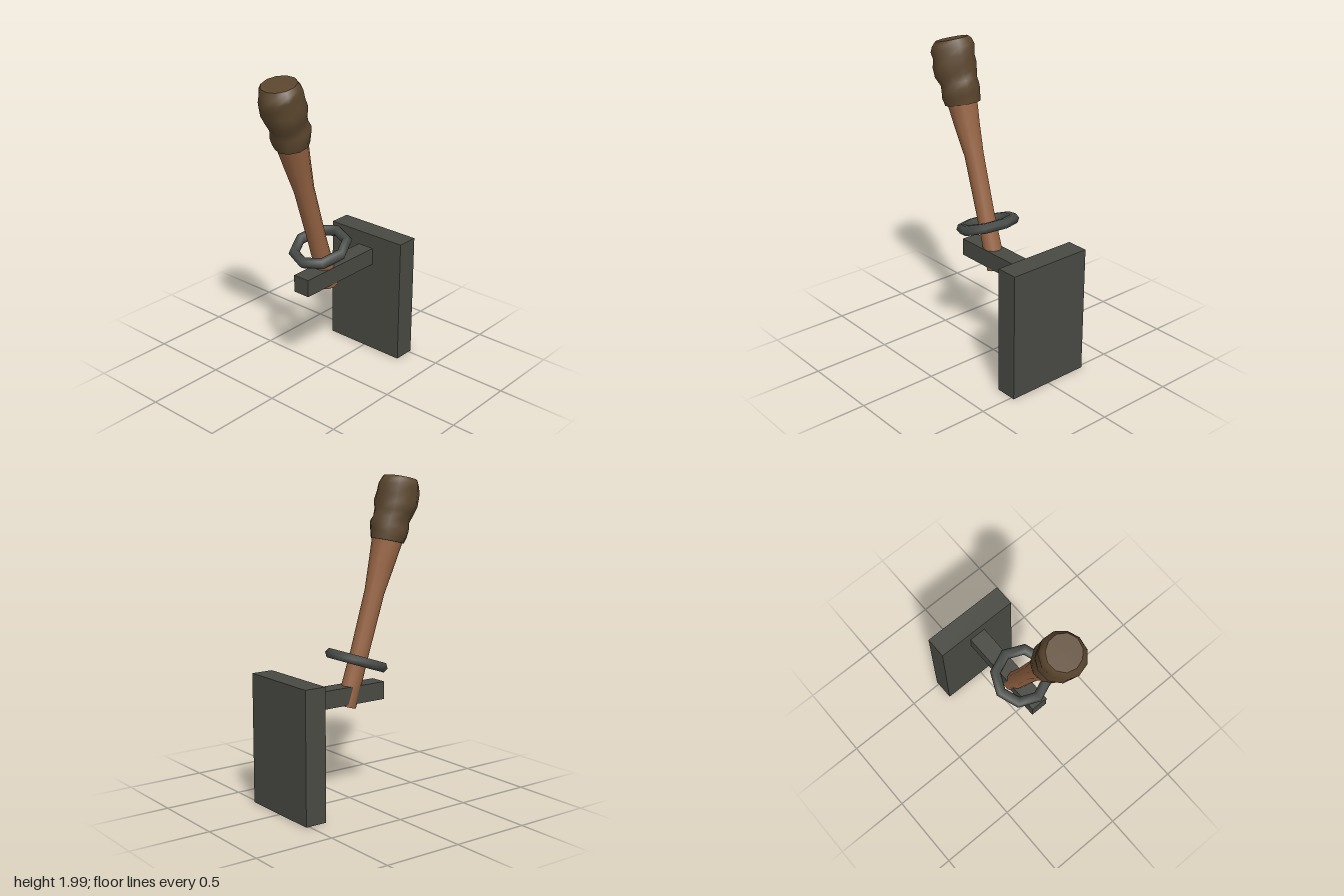
import * as THREE from 'three';

const iron = new THREE.MeshStandardMaterial({ color: 0x494a43 });
iron.name = 'dark iron';
const steel = new THREE.MeshStandardMaterial({ color: 0x484c48 });
steel.name = 'grey iron';
const wood = new THREE.MeshStandardMaterial({ color: 0x966443 });
wood.name = 'brown wood';
const cloth = new THREE.MeshStandardMaterial({ color: 0x5b462e });
cloth.name = 'dark cloth';

const TILT = 0.3;

function addMesh(parent, name, geometry, material, x = 0, y = 0, z = 0) {
  const mesh = new THREE.Mesh(geometry, material);
  mesh.name = name;
  mesh.position.set(x, y, z);
  parent.add(mesh);
  return mesh;
}

// Lofts leaning rings [x, y, z, radius] into a closed, smooth-sided body.
function loft(rings, sides, lump = 0, lean = TILT) {
  const pos = [];
  const index = [];
  const ringPoints = rings.map(([cx, cy, cz, r], i) =>
    Array.from({ length: sides }, (_, j) => {
      const a = (j / sides) * Math.PI * 2 + Math.PI / 2;
      const rr = r * (1 + lump * Math.sin(2 * a + i * 1.7));
      const h = lump * r * 1.6 * Math.sin(a + i * 1.3);
      const p = new THREE.Vector3(Math.cos(a) * rr, h, Math.sin(a) * rr);
      return p.applyAxisAngle(new THREE.Vector3(1, 0, 0), lean).add(new THREE.Vector3(cx, cy, cz));
    }));
  ringPoints.flat().forEach((p) => pos.push(p.x, p.y, p.z));
  for (let i = 0; i < rings.length - 1; i++) {
    for (let j = 0; j < sides; j++) {
      const a = i * sides + j;
      const b = i * sides + ((j + 1) % sides);
      index.push(a, a + sides, b, b, a + sides, b + sides);
    }
  }
  // Separate cap vertices keep the rims sharp
  [0, rings.length - 1].forEach((k) => {
    const start = pos.length / 3;
    const [cx, cy, cz] = rings[k];
    pos.push(cx, cy, cz);
    ringPoints[k].forEach((p) => pos.push(p.x, p.y, p.z));
    for (let j = 0; j < sides; j++) {
      const a = start + 1 + j;
      const b = start + 1 + ((j + 1) % sides);
      if (k === 0) index.push(start, a, b);
      else index.push(start, b, a);
    }
  });
  const g = new THREE.BufferGeometry();
  g.setAttribute('position', new THREE.Float32BufferAttribute(pos, 3));
  g.setIndex(index);
  g.computeVertexNormals();
  return g;
}

export function createModel() {
  const model = new THREE.Group();
  model.name = 'wallTorch';

  // Wall plate and the arm reaching forward from it
  addMesh(model, 'wallPlate', new THREE.BoxGeometry(0.56, 0.813, 0.14), iron, 0, 0.4065, -0.45);
  addMesh(model, 'supportArm', new THREE.BoxGeometry(0.114, 0.111, 0.61), iron, 0, 0.665, -0.077);

  // Octagonal holding ring, tilted with the torch
  const ringGeometry = new THREE.TorusGeometry(0.165, 0.034, 6, 8);
  ringGeometry.rotateX(Math.PI / 2 + 0.33);
  addMesh(model, 'holdingRing', ringGeometry, steel, 0, 0.868, 0.053);

  // Flared wooden handle
  addMesh(model, 'handle', loft([
    [-0.004, 0.59, -0.028, 0.062],
    [-0.004, 0.92, 0.078, 0.058],
    [-0.006, 1.28, 0.188, 0.062],
    [-0.002, 1.45, 0.245, 0.08],
    [0, 1.62, 0.298, 0.098],
  ], 10), wood);

  // Lumpy cloth wrapped around the head
  addMesh(model, 'clothWrap', loft([
    [-0.002, 1.585, 0.288, 0.106],
    [0, 1.63, 0.3, 0.116],
    [0, 1.675, 0.305, 0.121],
    [0.002, 1.715, 0.32, 0.114],
    [0.004, 1.76, 0.345, 0.126],
    [0.002, 1.81, 0.357, 0.135],
    [0, 1.86, 0.37, 0.13],
    [0, 1.905, 0.38, 0.134],
    [-0.002, 1.94, 0.387, 0.121],
    [-0.002, 1.964, 0.389, 0.104],
  ], 11, 0.03, 0.27), cloth);

  return model;
}
